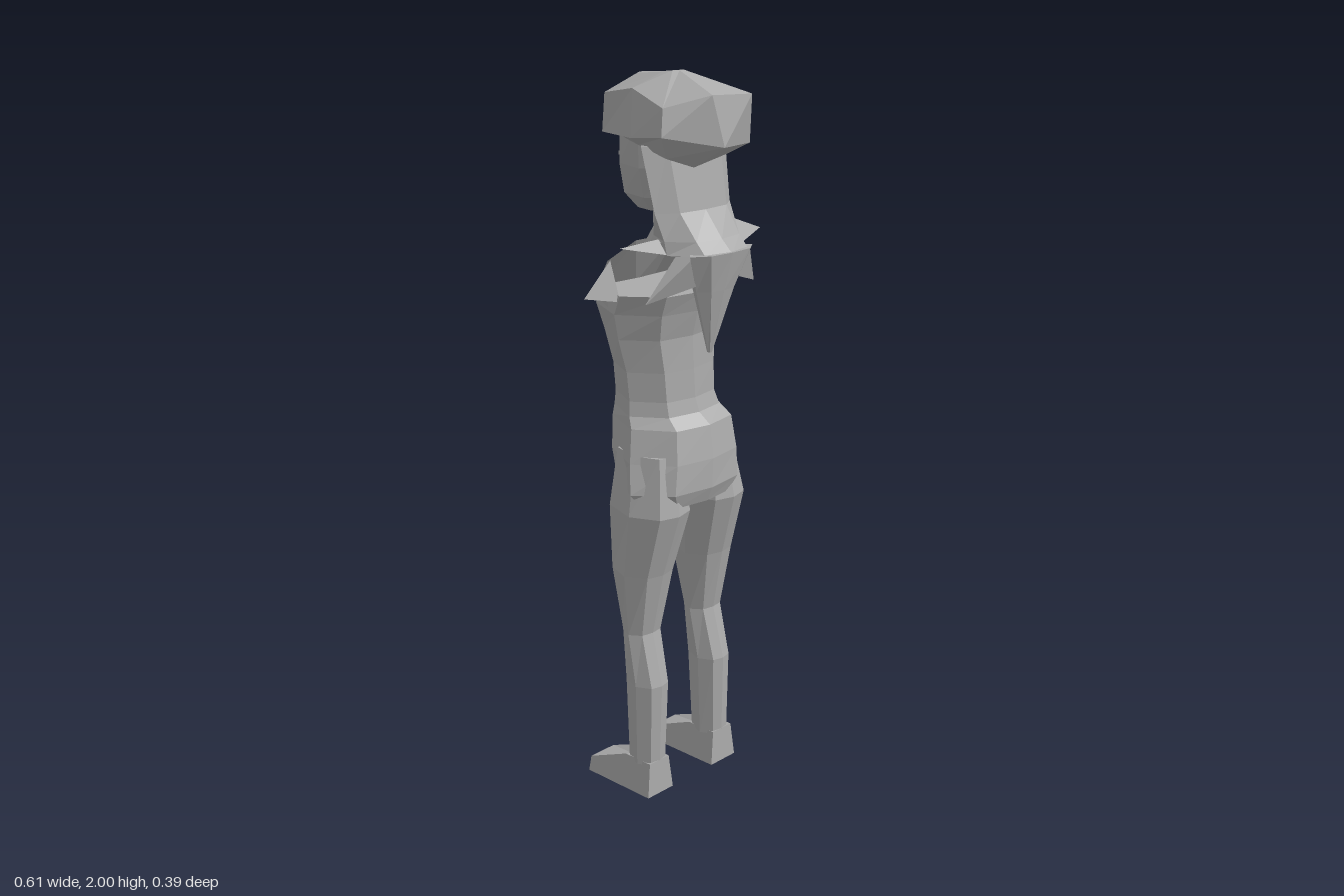
import * as THREE from 'three';

const grey = new THREE.MeshStandardMaterial({ color: 0xaaaaaa, flatShading: true, side: THREE.DoubleSide });
grey.name = 'plain grey';

// Faceted mesh from corner points and triangles
function facets(name, points, faces) {
  const g = new THREE.BufferGeometry();
  g.setAttribute('position', new THREE.Float32BufferAttribute(faces.flat().flatMap(i => points[i]), 3));
  g.computeVertexNormals();
  const m = new THREE.Mesh(g, grey);
  m.name = name;
  return m;
}

// Skin rings of points (bottom to top, ordered back, +x, front, -x) and close both ends
function loft(name, rings) {
  const n = rings[0].length, pts = rings.flat(), faces = [];
  const centre = r => [0, 1, 2].map(k => r.reduce((s, p) => s + p[k], 0) / n);
  for (let r = 0; r < rings.length - 1; r++) for (let i = 0; i < n; i++) {
    const a = r * n + i, b = r * n + (i + 1) % n;
    faces.push([a, b, b + n], [a, b + n, a + n]);
  }
  const low = pts.push(centre(rings[0])) - 1;
  const high = pts.push(centre(rings[rings.length - 1])) - 1;
  const base = (rings.length - 1) * n;
  for (let i = 0; i < n; i++) {
    const j = (i + 1) % n;
    faces.push([j, i, low], [base + i, base + j, high]);
  }
  return facets(name, pts, faces);
}

// Eight-sided section: height, centre x, half width, back z, front z, depth of the front middle
const section = ([y, cx, w, zb, zf, cleft = 0]) => {
  const m = (zb + zf) / 2, h = (zb - zf) / 2;
  return [[0, 1], [0.62, 0.85], [1, 0.1], [0.62, -0.9], [0, -1], [-0.62, -0.9], [-1, 0.1], [-0.62, 0.85]]
    .map(([u, v], i) => [cx + u * w, y, m + v * h + (i === 4 ? cleft : 0)]);
};
const body = (name, rows) => loft(name, rows.map(section));

export function createModel() {
  const model = new THREE.Group();
  model.name = 'figure';

  // Torso and hips in one skin, with a step at the belt
  model.add(body('torso', [
    [0.86, -0.015, 0.165, 0.12, -0.07],
    [0.9, -0.012, 0.2, 0.135, -0.115],
    [0.98, -0.005, 0.19, 0.132, -0.15],
    [1.07, 0, 0.175, 0.115, -0.16],
    [1.1, -0.005, 0.16, 0.08, -0.155],
    [1.14, -0.01, 0.15, 0.07, -0.15],
    [1.22, -0.01, 0.155, 0.065, -0.155],
    [1.31, -0.012, 0.172, 0.062, -0.175, 0.03],
    [1.38, -0.012, 0.185, 0.08, -0.2, 0.04],
    [1.435, -0.01, 0.195, 0.1, -0.16, 0.02]
  ]));

  // Legs and feet, one each side
  for (const s of [-1, 1]) {
    const side = s > 0 ? 'left' : 'right', o = -0.012;
    const leg = [
      [0.09, 0.13, 0.047, 0.06, -0.035],
      [0.33, 0.127, 0.053, 0.067, -0.045],
      [0.48, 0.124, 0.058, 0.03, -0.055],
      [0.66, 0.12, 0.08, 0.066, -0.088],
      [0.84, 0.11, 0.094, 0.118, -0.1],
      [1.0, 0.1, 0.07, 0.09, -0.09]
    ];
    model.add(body(side + 'Leg', leg.map(([y, x, ...rest]) => [y, o + s * x, ...rest])));

    const x = o + s * 0.132;
    const sole = [[0.05, 0, 0.065], [0.05, 0, -0.04], [0.05, 0, -0.175],
      [-0.05, 0, -0.175], [-0.05, 0, -0.04], [-0.05, 0, 0.065]];
    const upper = [[0.038, 0.1, 0.06], [0.038, 0.1, -0.035], [0.045, 0.045, -0.17],
      [-0.045, 0.045, -0.17], [-0.038, 0.1, -0.035], [-0.038, 0.1, 0.06]];
    model.add(loft(side + 'Foot', [sole, upper].map(r => r.map(p => [p[0] + x, p[1], p[2]]))));
  }

  // Wide sloping chest panel above the open torso
  model.add(facets('chestPanel', [
    [0.08, 1.555, -0.08], [-0.08, 1.555, -0.08], [0.2, 1.525, -0.05], [-0.215, 1.525, -0.05],
    [0.1, 1.4, -0.2], [-0.12, 1.4, -0.2], [0, 1.42, -0.16], [0.185, 1.4, -0.06], [-0.205, 1.4, -0.06]
  ], [[0, 1, 6], [0, 6, 4], [1, 5, 6], [0, 4, 2], [1, 3, 5], [2, 4, 7], [3, 8, 5]]));

  // Pointed shoulder scraps: three base corners and a tip
  const spikes = {
    upperLeftSpike: [[0.12, 1.615, 0.04], [0.125, 1.545, 0.11], [0.12, 1.545, 0.01], [0.305, 1.55, 0.02]],
    upperRightSpike: [[-0.12, 1.58, 0.04], [-0.125, 1.545, 0.09], [-0.12, 1.545, -0.03], [-0.24, 1.57, 0.02]],
    lowerLeftSpike: [[0.19, 1.525, -0.05], [0.175, 1.415, -0.03], [0.18, 1.42, -0.07], [0.285, 1.45, -0.045]],
    lowerRightSpike: [[-0.205, 1.525, -0.05], [-0.19, 1.415, -0.03], [-0.195, 1.42, -0.07], [-0.305, 1.44, -0.045]],
    leftCollarFlap: [[0.1, 1.55, 0.16], [0.12, 1.545, 0.11], [0.07, 1.47, 0.15], [0.2, 1.43, 0.09]],
    rightCollarFlap: [[-0.11, 1.55, 0.16], [-0.13, 1.545, 0.11], [-0.08, 1.47, 0.15], [-0.215, 1.43, 0.085]]
  };
  for (const [name, pts] of Object.entries(spikes)) {
    const faces = [[0, 1, 2], [0, 3, 1], [0, 2, 3], [1, 3, 2]];
    model.add(facets(name, pts, pts[3][0] > 0 ? faces : faces.map(f => [...f].reverse())));
  }

  // Neck, head and face
  model.add(body('neck', [
    [1.545, 0, 0.08, 0.04, -0.085],
    [1.59, 0, 0.055, 0.03, -0.065],
    [1.7, 0, 0.055, 0.03, -0.07]
  ]));
  model.add(body('head', [
    [1.63, 0, 0.035, -0.02, -0.135],
    [1.67, 0, 0.075, 0.03, -0.165],
    [1.75, 0, 0.1, 0.05, -0.168],
    [1.87, 0, 0.108, 0.05, -0.16]
  ]));
  model.add(facets('nose', [[0, 1.77, -0.166], [0.014, 1.72, -0.163], [-0.014, 1.72, -0.163], [0, 1.725, -0.18]],
    [[0, 3, 2], [0, 1, 3], [1, 2, 3]]));
  for (const s of [-1, 1]) {
    const eye = new THREE.Mesh(new THREE.BoxGeometry(0.035, 0.01, 0.008), grey);
    eye.name = s > 0 ? 'leftEye' : 'rightEye';
    eye.position.set(s * 0.04, 1.775, -0.162);
    eye.rotation.y = -s * 0.12;
    model.add(eye);
  }

  // Long hair flaring over the shoulders, then falling to a point
  model.add(body('backHair', [
    [1.545, -0.003, 0.132, 0.192, -0.045],
    [1.58, -0.003, 0.132, 0.155, -0.02],
    [1.65, -0.005, 0.143, 0.1, 0],
    [1.82, -0.008, 0.158, 0.07, -0.03]
  ]));
  model.add(body('hairPoint', [
    [1.28, -0.025, 0.006, 0.14, 0.128],
    [1.45, -0.015, 0.07, 0.175, 0.1],
    [1.55, -0.005, 0.12, 0.195, 0.11]
  ]));

  // Loose strand beside the face
  model.add(body('sideLock', [
    [1.63, 0.105, 0.006, -0.06, -0.085],
    [1.74, 0.11, 0.014, -0.05, -0.105],
    [1.86, 0.115, 0.018, -0.03, -0.12]
  ]));

  // Bulky cap of hair
  model.add(loft('hairCap', [
    [[-0.04, 1.76, 0.09], [0.1, 1.78, 0.08], [0.13, 1.83, 0], [0.11, 1.85, -0.1],
      [0, 1.85, -0.15], [-0.11, 1.83, -0.1], [-0.15, 1.82, 0], [-0.13, 1.79, 0.08]],
    [[-0.04, 1.82, 0.195], [0.13, 1.81, 0.13], [0.162, 1.86, 0.04], [0.14, 1.86, -0.13],
      [0, 1.88, -0.188], [-0.14, 1.84, -0.14], [-0.178, 1.84, 0], [-0.18, 1.85, 0.11]],
    [[-0.065, 1.95, 0.175], [0.1, 1.94, 0.162], [0.163, 1.94, 0.04], [0.115, 1.96, -0.15],
      [0, 1.94, -0.185], [-0.135, 1.94, -0.135], [-0.15, 1.96, -0.02], [-0.165, 1.92, 0.1]],
    [[-0.04, 2, 0.04], [-0.02, 2, 0.035], [0, 1.995, 0.02], [0.01, 1.985, -0.1],
      [-0.02, 1.985, -0.12], [-0.05, 1.985, -0.1], [-0.06, 1.995, 0], [-0.055, 2, 0.03]]
  ]));

  return model;
}
